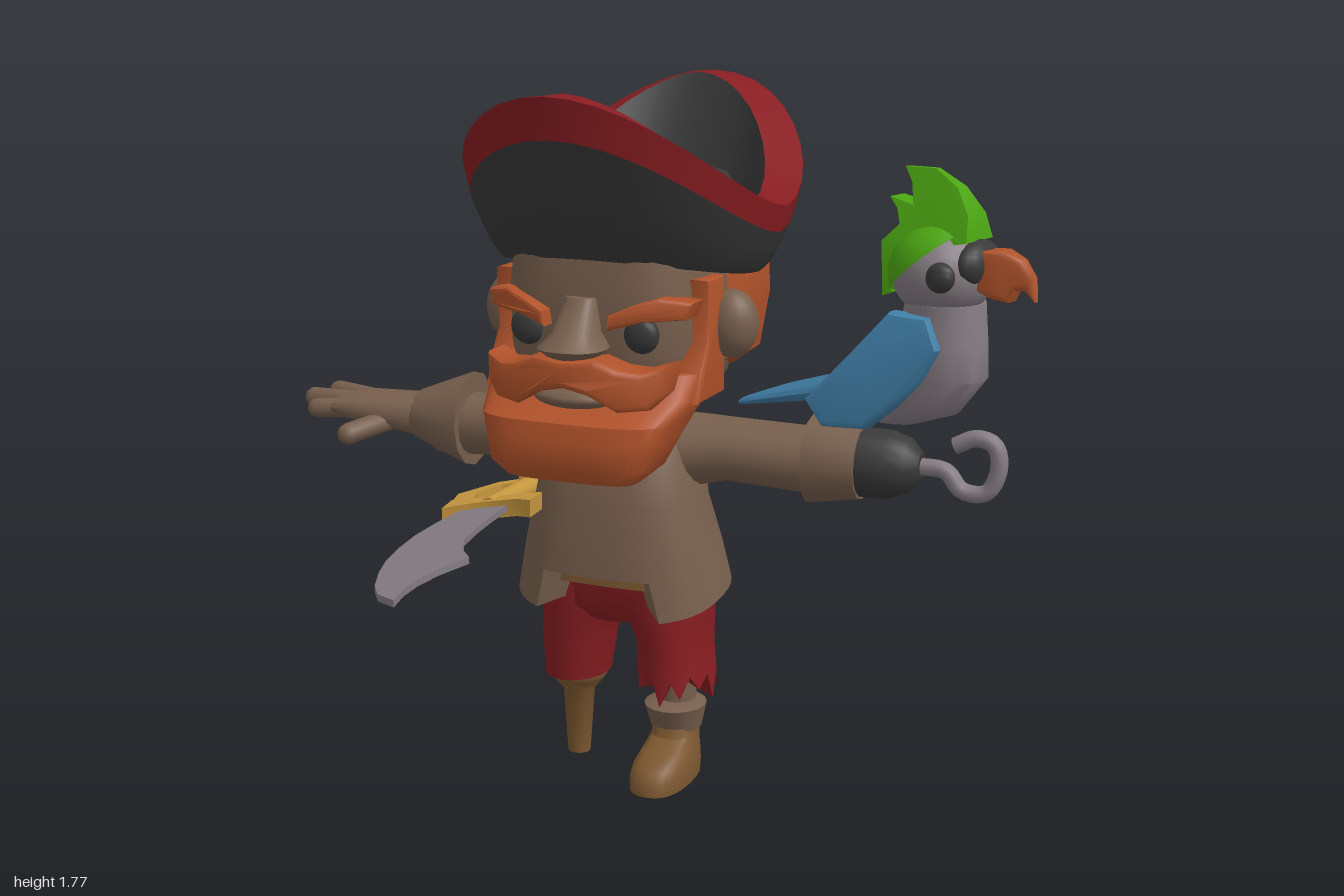
import * as THREE from 'three';
import { toCreasedNormals, mergeVertices } from 'three/addons/utils/BufferGeometryUtils.js';

const mat = (name, color) => {
  const m = new THREE.MeshStandardMaterial({ color, side: THREE.DoubleSide });
  m.name = name;
  return m;
};
const M = {
  brown: mat('brown cloth and skin', 0x775f4d), red: mat('red cloth', 0x871d21),
  black: mat('black', 0x383838), orange: mat('orange hair', 0xb0522a),
  blue: mat('blue feathers', 0x417fa8), green: mat('green feathers', 0x4ba512),
  grey: mat('grey', 0x857c82), gold: mat('gold', 0xc6973e), wood: mat('wood and leather', 0x7d5830),
};
const CX = -0.04; // middle of the body

// Superellipse ring round an axis; a, b are half sizes, e the squareness
function ring(axis, [x, y, z], a, b, e = 2, n = 24, rule) {
  const pts = [];
  for (let i = 0; i < n; i++) {
    const t = (i / n) * Math.PI * 2;
    const p = (v) => Math.sign(v) * Math.abs(v) ** (2 / e);
    const s = p(Math.sin(t)), c = p(Math.cos(t));
    const v = axis === 'x' ? [x, y + a * c, z + b * s] : [x + a * s, y, z + b * c];
    if (rule) v[1] = rule(t, v, i);
    pts.push(v);
  }
  return pts;
}

function add(group, name, geo, material, angle = 0.75) {
  const mesh = new THREE.Mesh(toCreasedNormals(geo, angle), material);
  mesh.name = name;
  group.add(mesh);
}

// Skin a list of rings, with optional end caps
function loft(rings, capA = true, capB = true) {
  const n = rings[0].length, pos = rings.flat(2), idx = [];
  for (let r = 0; r < rings.length - 1; r++)
    for (let i = 0; i < n; i++) {
      const a = r * n + i, b = r * n + ((i + 1) % n);
      idx.push(a, b, b + n, a, b + n, a + n);
    }
  const cap = (r, flip) => {
    const c = pos.length / 3;
    pos.push(...[0, 1, 2].map((k) => rings[r].reduce((s, p) => s + p[k], 0) / n));
    for (let i = 0; i < n; i++) {
      const a = r * n + i, b = r * n + ((i + 1) % n);
      idx.push(...(flip ? [c, b, a] : [c, a, b]));
    }
  };
  if (capA) cap(0, true);
  if (capB) cap(rings.length - 1, false);
  const g = new THREE.BufferGeometry();
  g.setAttribute('position', new THREE.Float32BufferAttribute(pos, 3));
  g.setIndex(idx);
  g.computeVertexNormals();
  return g;
}
// Upright loft from rows of [y, half x, back z, front z, own x]
const stack = (rows, x = CX, e = 2, n = 24, rule) => loft(rows.map(([y, rx, z0, z1, own = x], i) =>
  ring('y', [own, y, (z0 + z1) / 2], rx, (z1 - z0) / 2, e, n, i === 0 ? rule : undefined)));
// Sideways loft from rows of [x, y, z, half y, half z]
const sideways = (rows, e = 2, n = 16) => loft(rows.map(([x, y, z, a, b]) => ring('x', [x, y, z], a, b, e, n)));

function reshape(g, rule) {
  const p = g.attributes.position, v = new THREE.Vector3();
  for (let i = 0; i < p.count; i++) {
    rule(v.fromBufferAttribute(p, i));
    p.setXYZ(i, v.x, v.y, v.z);
  }
  return g;
}
// Extruded outline centred on z, with an optional vertex rule
function plate(pts, depth, bevel = 0, rule = () => {}) {
  const g = new THREE.ExtrudeGeometry(new THREE.Shape(pts.map((p) => new THREE.Vector2(...p))), {
    depth, bevelEnabled: bevel > 0, bevelSize: bevel, bevelThickness: bevel, bevelOffset: -bevel, bevelSegments: 2,
  }).translate(0, 0, -depth / 2);
  return reshape(g, rule);
}
const ball = ([x, y, z], a, b, c) => new THREE.SphereGeometry(1, 20, 14).scale(a, b, c).translate(x, y, z);

function buildHead() {
  const g = new THREE.Group();
  g.name = 'head';
  add(g, 'neck', stack([[0.9, 0.13, -0.4, -0.14], [1.02, 0.14, -0.42, -0.12]]), M.brown);
  add(g, 'face', stack([[0.97, 0.17, -0.4, -0.1], [1.06, 0.24, -0.48, -0.01], [1.15, 0.255, -0.5, 0.01],
    [1.3, 0.255, -0.5, 0.02], [1.4, 0.245, -0.5, 0.01]], CX, 3.2, 32), M.brown, 0.9);
  add(g, 'hair', stack([[1.065, 0.22, -0.56, -0.3], [1.1, 0.265, -0.61, -0.26], [1.24, 0.285, -0.63, -0.25],
    [1.36, 0.28, -0.62, -0.25], [1.405, 0.26, -0.59, -0.25]], CX, 4, 28), M.orange);
  add(g, 'nose', stack([[1.145, 0.05, 0, 0.11], [1.175, 0.085, -0.02, 0.145], [1.21, 0.055, -0.02, 0.11],
    [1.29, 0.04, -0.02, 0.045]], CX, 2.4, 16), M.brown);
  add(g, 'mouth', ball([CX, 1.055, 0.045], 0.11, 0.03, 0.075), M.brown);
  add(g, 'beard', stack([[0.86, 0.17, -0.02, 0.13], [0.895, 0.21, -0.08, 0.155], [0.96, 0.232, -0.16, 0.155],
    [1.005, 0.25, -0.2, 0.145], [1.05, 0.272, -0.21, 0.05], [1.11, 0.278, -0.21, -0.005]], CX, 3.6, 32), M.orange);
  const mus = [[0, 1.152], [0.08, 1.16], [0.13, 1.138], [0.18, 1.13], [0.235, 1.145], [0.235, 1.08], [0.2, 1.04],
    [0.13, 1.035], [0.06, 1.075], [0, 1.088]];
  const both = mus.concat(mus.slice(1, -1).reverse().map(([x, y]) => [-x, y]));
  add(g, 'moustache', plate(both, 0.08, 0.015, (v) => { v.z += 0.085 - 1.5 * v.x * v.x; v.x += CX; }), M.orange);
  for (const s of [1, -1]) {
    // Sideburn outline lies in z and y
    const burn = [[-0.09, 1.33], [-0.2, 1.33], [-0.21, 1.04], [-0.03, 1.04], [-0.06, 1.12], [-0.1, 1.18]];
    add(g, 'sideburn', plate(burn.map(([z, y]) => [-z, y]), 0.05, 0.01).rotateY(Math.PI / 2)
      .translate(CX + s * 0.25, 0, 0), M.orange);
    const brow = [[0.08, 1.218], [0.085, 1.255], [0.14, 1.28], [0.2, 1.298], [0.27, 1.285], [0.255, 1.245], [0.16, 1.24]];
    add(g, 'eyebrow', plate(brow.map(([x, y]) => [x * s, y]), 0.06, 0.01, (v) => {
      v.z += 0.03 - 1.3 * v.x * v.x; v.x += CX;
    }), M.orange);
    add(g, 'eye', ball([CX + s * 0.15, 1.205, 0.0], 0.045, 0.045, 0.025), M.black);
    add(g, 'ear', ball([CX + s * 0.3, 1.21, -0.21], 0.066, 0.085, 0.06), M.brown);
  }
  return g;
}

function buildHat() {
  const g = new THREE.Group();
  g.name = 'hat';
  const brim = (y, rise, rx, rz, e = 2) => ring('y', [CX, y, -0.31], rx, rz, e, 40,
    (t) => y + rise * Math.abs(Math.cos(t)) ** 1.6);
  const base = brim(1.325, 0.055, 0.33, 0.335), band = brim(1.425, 0.25, 0.385, 0.505);
  const inner = brim(1.5, 0.275, 0.315, 0.425, 1.8), lining = brim(1.47, 0.2, 0.3, 0.38, 1.9);
  add(g, 'brimOutside', loft([base, brim(1.345, 0.095, 0.348, 0.38), brim(1.38, 0.16, 0.366, 0.44), band], true, false), M.black);
  add(g, 'brimTrim', loft([band, brim(1.49, 0.285, 0.4, 0.53), inner], false, false), M.red);
  add(g, 'brimInside', loft([inner, lining, brim(1.43, 0.06, 0.28, 0.3)], false, true), M.black);
  add(g, 'crown', stack([[1.41, 0.262, -0.51, -0.05], [1.5, 0.255, -0.5, -0.05], [1.555, 0.225, -0.47, -0.08],
    [1.585, 0.14, -0.38, -0.16]], CX, 3.5, 28), M.black, 0.9);
  return g;
}

function buildBody() {
  const g = new THREE.Group();
  g.name = 'body';
  // Coat with a sloping hem and a notch at the front
  const hem = (t, v) => (v[2] > -0.2 && Math.abs(v[0] - CX) < 0.15 ? 0.565 : 0.502 - 0.048 * Math.cos(t));
  add(g, 'coat', stack([[0.5, 0.275, -0.45, -0.05], [0.62, 0.25, -0.44, -0.05], [0.75, 0.218, -0.4, -0.06],
    [0.87, 0.2, -0.425, -0.075], [0.94, 0.17, -0.41, -0.11], [0.985, 0.1, -0.36, -0.17]], CX, 2.6, 56, hem), M.brown, 0.9);
  add(g, 'belt', stack([[0.53, 0.24, -0.425, -0.1], [0.59, 0.23, -0.42, -0.1]], CX, 3), M.wood);
  // Trousers, one leg with a ragged end
  add(g, 'trouserSeat', stack([[0.42, 0.1, -0.39, -0.155], [0.46, 0.19, -0.415, -0.125], [0.6, 0.225, -0.41, -0.12]], CX, 2.6), M.red);
  const legTop = (s) => [[0.35, 0.094, -0.4, -0.145, CX + s * 0.136], [0.42, 0.106, -0.415, -0.135, CX + s * 0.124],
    [0.47, 0.12, -0.42, -0.13, CX + s * 0.112], [0.6, 0.122, -0.41, -0.13, CX + s * 0.108]];
  add(g, 'rightTrouserLeg', stack([[0.235, 0.083, -0.385, -0.165, -0.183], ...legTop(-1)]), M.red);
  add(g, 'leftTrouserLeg', stack([[0.25, 0.098, -0.395, -0.145, 0.103], ...legTop(1)], 0, 2, 24,
    (t, v, i) => [0.21, 0.28, 0.23, 0.29, 0.25, 0.285][i % 6]), M.red);
  // Wooden leg and boot
  const peg = [[0, 0], [0.03, 0], [0.042, 0.18], [0.068, 0.21], [0.078, 0.225], [0.078, 0.25], [0, 0.25]];
  add(g, 'pegLeg', new THREE.LatheGeometry(peg.map((p) => new THREE.Vector2(...p)), 16).translate(-0.183, 0, -0.275), M.wood);
  add(g, 'shin', stack([[0.15, 0.045, -0.315, -0.22], [0.32, 0.05, -0.325, -0.21]], 0.105, 2, 16), M.brown);
  add(g, 'bootCuff', stack([[0.125, 0.066, -0.33, -0.195], [0.19, 0.08, -0.345, -0.165], [0.2, 0.06, -0.33, -0.19]], 0.103, 2, 16), M.brown);
  add(g, 'boot', stack([[0, 0.072, -0.33, -0.05], [0.03, 0.074, -0.332, -0.05], [0.06, 0.07, -0.332, -0.07],
    [0.085, 0.063, -0.33, -0.13], [0.11, 0.057, -0.33, -0.185], [0.16, 0.056, -0.33, -0.2]], 0.103, 2.5, 24), M.wood);
  // Sleeves and cuffs
  const sleeve = (s) => [[CX + s * 0.06, 0.85, -0.27, 0.11, 0.13], [CX + s * 0.19, 0.868, -0.275, 0.092, 0.11],
    [CX + s * 0.28, 0.877, -0.28, 0.08, 0.095], [CX + s * 0.54, 0.87, -0.28, 0.084, 0.09]];
  add(g, 'rightSleeve', sideways(sleeve(-1).reverse()), M.brown);
  add(g, 'leftSleeve', sideways(sleeve(1)), M.brown);
  add(g, 'rightCuff', sideways([[-0.645, 0.885, -0.275, 0.066, 0.075], [-0.49, 0.885, -0.28, 0.127, 0.115]], 2, 12), M.brown);
  add(g, 'leftCuff', sideways([[0.455, 0.878, -0.275, 0.115, 0.115], [0.585, 0.882, -0.27, 0.094, 0.094]], 2, 12), M.brown);
  // Hand
  add(g, 'palm', sideways([[-0.87, 0.9, -0.255, 0.025, 0.08], [-0.82, 0.9, -0.255, 0.038, 0.085], [-0.74, 0.895, -0.26, 0.046, 0.078],
    [-0.62, 0.885, -0.27, 0.06, 0.062]], 2.4), M.brown);
  const finger = (p, q, r) => {
    const a = new THREE.Vector3(...p), b = new THREE.Vector3(...q), d = b.clone().sub(a);
    const geo = mergeVertices(new THREE.CapsuleGeometry(r, d.length(), 4, 10));
    geo.applyQuaternion(new THREE.Quaternion().setFromUnitVectors(new THREE.Vector3(0, 1, 0), d.normalize()));
    add(g, 'finger', geo.translate(...a.add(b).multiplyScalar(0.5).toArray()), M.brown);
  };
  finger([-0.82, 0.905, -0.31], [-0.945, 0.907, -0.345], 0.027);
  finger([-0.82, 0.905, -0.26], [-0.973, 0.902, -0.265], 0.027);
  finger([-0.82, 0.895, -0.215], [-0.925, 0.89, -0.2], 0.027);
  finger([-0.72, 0.87, -0.23], [-0.78, 0.85, -0.115], 0.029);
  // Hook
  add(g, 'hookCup', sideways([[0.56, 0.882, -0.27, 0.086, 0.086], [0.65, 0.882, -0.27, 0.086, 0.086],
    [0.7, 0.884, -0.27, 0.068, 0.068], [0.73, 0.885, -0.27, 0.035, 0.035]]), M.black);
  const hook = [[0.71, 0.885], [0.79, 0.88], [0.83, 0.837], [0.89, 0.837], [0.918, 0.9], [0.905, 0.955], [0.86, 0.968], [0.81, 0.945]];
  add(g, 'hook', new THREE.TubeGeometry(new THREE.CatmullRomCurve3(hook.map(([x, y]) => new THREE.Vector3(x, y, -0.27))),
    32, 0.021, 10), M.grey);
  return g;
}

function buildSword() {
  const g = new THREE.Group();
  g.name = 'sword';
  // Outlines lie in x and z, tilted sideways
  const flat = (pts, depth) => reshape(plate(pts, depth).rotateX(Math.PI / 2), (v) => { v.y += 0.7 + (v.x + 0.4) * 0.2; });
  add(g, 'blade', flat([[-0.4, -0.04], [-0.4, 0.1], [-0.39, 0.23], [-0.365, 0.35], [-0.33, 0.47], [-0.285, 0.58], [-0.225, 0.7],
    [-0.17, 0.78], [-0.096, 0.84], [-0.123, 0.75], [-0.132, 0.67], [-0.125, 0.59], [-0.096, 0.5], [-0.155, 0.42],
    [-0.205, 0.32], [-0.235, 0.2], [-0.255, 0.08], [-0.27, -0.04]], 0.016), M.grey);
  add(g, 'guard', flat([[-0.46, -0.09], [-0.44, 0], [-0.36, -0.03], [-0.24, -0.03], [-0.19, 0], [-0.2, -0.09]], 0.045), M.gold);
  add(g, 'knuckleBow', flat([[-0.495, -0.19], [-0.44, -0.03], [-0.385, -0.04], [-0.435, -0.19], [-0.4, -0.26],
    [-0.32, -0.285], [-0.32, -0.33], [-0.43, -0.3]], 0.035), M.gold);
  add(g, 'grip', new THREE.CylinderGeometry(0.028, 0.028, 0.26, 10).rotateX(Math.PI / 2).translate(-0.33, 0.715, -0.18), M.gold);
  add(g, 'pommel', new THREE.CylinderGeometry(0.042, 0.036, 0.05, 12).rotateX(Math.PI / 2).translate(-0.33, 0.715, -0.32), M.gold);
  return g;
}

function buildParrot() {
  const g = new THREE.Group();
  g.name = 'parrot';
  add(g, 'breast', stack([[0.985, 0.07, -0.05, 0.05, -0.06], [1.02, 0.11, -0.08, 0.08, 0], [1.11, 0.12, -0.105, 0.105, 0.055],
    [1.2, 0.105, -0.1, 0.1, 0.065], [1.29, 0.09, -0.1, 0.1, 0.07]], 0, 2.3, 16), M.grey);
  add(g, 'backAndTail', sideways([[-0.475, 0.98, 0, 0.01, 0.05], [-0.38, 1.01, 0, 0.018, 0.11], [-0.22, 1.05, 0, 0.03, 0.11],
    [-0.1, 1.09, 0, 0.06, 0.125], [-0.01, 1.18, 0, 0.07, 0.1], [0.04, 1.22, 0, 0.05, 0.08]], 2.5, 16), M.blue);
  const wing = [[-0.02, 1.27], [0.08, 1.265], [0.11, 1.19], [0.07, 1.11], [0.0, 1.04], [-0.06, 0.985], [-0.16, 0.985],
    [-0.2, 1.05], [-0.11, 1.16]];
  for (const s of [1, -1]) {
    add(g, 'wing', plate(wing, 0.03, 0.018, (v) => {
      v.z += s * (0.088 + 0.33 * Math.max(0, 0.03 - v.x) * Math.min(1, (1.35 - v.y) * 4));
    }), M.blue);
    add(g, 'birdEye', ball([0.108, 1.362, s * 0.108], 0.036, 0.036, 0.026), M.black);
  }
  add(g, 'birdHead', ball([0.06, 1.36, 0], 0.122, 0.112, 0.125), M.grey);
  add(g, 'faceBand', ball([0.148, 1.385, 0], 0.043, 0.058, 0.088), M.black);
  add(g, 'cap', new THREE.SphereGeometry(1, 20, 8, 0, Math.PI * 2, 0, Math.PI * 0.42).rotateZ(0.75)
    .scale(0.132, 0.122, 0.128).translate(0.058, 1.36, 0), M.green);
  add(g, 'crest', plate([[-0.06, 1.3], [-0.068, 1.43], [-0.03, 1.47], [-0.045, 1.505], [-0.07, 1.53], [-0.005, 1.515],
    [-0.02, 1.565], [-0.045, 1.6], [0.035, 1.6], [0.1, 1.56], [0.14, 1.5], [0.15, 1.44], [0, 1.41]], 0.15, 0, (v) => {
    v.z *= Math.min(1, Math.max(0.12, 1 - (v.y - 1.42) * 5));
  }), M.green);
  add(g, 'beak', plate([[0.16, 1.42], [0.22, 1.425], [0.265, 1.405], [0.295, 1.365], [0.3, 1.31], [0.275, 1.335], [0.255, 1.335],
    [0.24, 1.305], [0.2, 1.31], [0.16, 1.33]], 0.06, 0.012, (v) => { v.z *= Math.max(0.2, 1 - (v.x - 0.18) * 6); }), M.orange);
  g.position.set(0.7, 0, -0.3);
  g.rotation.y = -0.22;
  return g;
}

export function createModel() {
  const model = new THREE.Group();
  model.name = 'pirate';
  model.add(buildHead(), buildHat(), buildBody(), buildSword(), buildParrot());
  return model;
}
